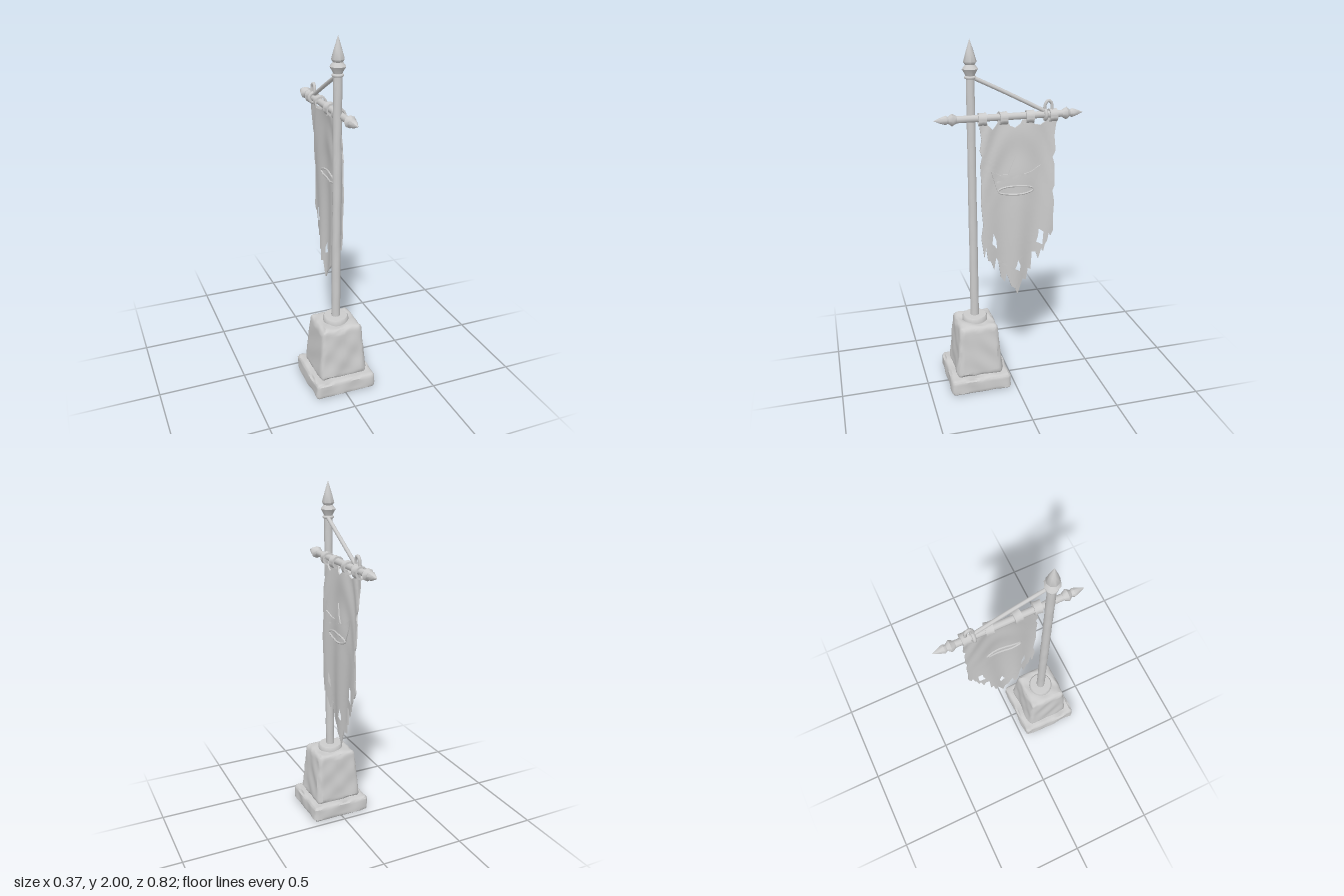
import * as THREE from 'three';
import { mergeVertices, toCreasedNormals } from 'three/addons/utils/BufferGeometryUtils.js';

const material = new THREE.MeshStandardMaterial({ color: 0xcccccc });
const POLE_Z = 0.207, BAR_X = 0.024, BAR_Y = 1.593;

function part(group, name, geometry, x = 0, y = 0, z = 0) {
  const mesh = new THREE.Mesh(geometry, material);
  mesh.name = name;
  mesh.position.set(x, y, z);
  group.add(mesh);
  return mesh;
}

// Move every vertex of a geometry by a rule
function warp(geometry, rule) {
  const p = geometry.attributes.position, v = new THREE.Vector3();
  for (let i = 0; i < p.count; i++) {
    rule(v.fromBufferAttribute(p, i));
    p.setXYZ(i, v.x, v.y, v.z);
  }
  return geometry;
}

const bumps = (x, y, z) =>
  Math.sin(x * 31 + y * 17 + 1) * Math.sin(y * 27 - z * 23 + 2) + 0.6 * Math.sin(z * 47 + x * 39 - y * 33);

// Worn stone block: rounded, tapered towards the top, chipped along its edges
function stone(w, h, d, radius, taper, seed) {
  const n = s => Math.max(6, Math.round(s / 0.014));
  let g = new THREE.BoxGeometry(w, h, d, n(w), n(h), n(d));
  g.deleteAttribute('uv');
  g.deleteAttribute('normal');
  g = mergeVertices(g);
  const inner = new THREE.Vector3(w / 2 - radius, h / 2 - radius, d / 2 - radius);
  const core = new THREE.Vector3(), out = new THREE.Vector3();
  warp(g, v => {
    core.copy(v).clamp(inner.clone().negate(), inner);
    out.copy(v).sub(core);
    const edge = [out.x, out.y, out.z].filter(c => Math.abs(c) > radius * 0.4).length > 1;
    out.normalize();
    const b = bumps(v.x + seed, v.y, v.z + seed);
    v.copy(core).addScaledVector(out, radius + 0.0035 * b - (edge ? 0.008 * Math.max(0, b) : 0));
    const s = 1 - taper * (v.y / h + 0.5);
    v.x *= s;
    v.z *= s;
    v.y = Math.max(v.y, -h / 2) + h / 2;
  });
  return toCreasedNormals(g, 0.7);
}

function lathe(points, sides) {
  return toCreasedNormals(
    new THREE.LatheGeometry(points.map(p => new THREE.Vector2(...p)), sides), 0.85);
}

// Split long edges so that flat shapes can bend
function refine(geometry, limit) {
  const p = (geometry.index ? geometry.toNonIndexed() : geometry).attributes.position;
  const at = i => new THREE.Vector3().fromBufferAttribute(p, i);
  const out = [];
  const split = (a, b, c) => {
    const ab = a.distanceTo(b), bc = b.distanceTo(c), ca = c.distanceTo(a);
    const longest = Math.max(ab, bc, ca);
    if (longest <= limit) {
      out.push(...a.toArray(), ...b.toArray(), ...c.toArray());
      return;
    }
    // Turn the corners so that the longest edge comes first
    const [s, e, tip] = ab === longest ? [a, b, c] : bc === longest ? [b, c, a] : [c, a, b];
    const m = s.clone().add(e).multiplyScalar(0.5);
    split(s, m, tip);
    split(m, e, tip);
  };
  for (let i = 0; i < p.count; i += 3) split(at(i), at(i + 1), at(i + 2));
  const g = new THREE.BufferGeometry();
  g.setAttribute('position', new THREE.Float32BufferAttribute(out, 3));
  return g;
}

// Sideways position of the hanging cloth; a runs away from the pole along the bar
function fold(a, y) {
  const t = (1.58 - y) / 1.04;
  const sag = 0.034 + 0.016 * Math.sin(Math.PI * Math.min(1, Math.max(0, t)));
  const swags = Math.sin((y + 8.8 * (a - 0.04) ** 2) * 26) * Math.max(0, 0.5 - t);
  const pleats = Math.sin((a - 0.03) * (26 + 14 * t) + t * 2) * (0.4 + 0.6 * t);
  return sag + 0.007 * swags + 0.008 * pleats;
}

function drape(geometry, offset) {
  const g = warp(refine(geometry, 0.022), v => v.set(fold(v.x, v.y) + v.z + offset, v.y, -v.x));
  return toCreasedNormals(g, 0.8);
}

// Outlines are given in hundredths of a unit
const outline = list => list.map(([a, y]) => new THREE.Vector2(a / 100, y / 100));
const thin = (shape, depth) => new THREE.ExtrudeGeometry(shape, { depth, bevelEnabled: false });

export function createModel() {
  const model = new THREE.Group();
  model.name = 'bannerStand';

  // Stone pedestal
  part(model, 'baseSlab', stone(0.362, 0.095, 0.352, 0.018, 0.02, 0), 0, 0, POLE_Z);
  part(model, 'pedestal', stone(0.29, 0.315, 0.275, 0.026, 0.19, 3), 0, 0.085, POLE_Z);
  part(model, 'collar', lathe([[0, 0], [0.073, 0], [0.072, 0.024], [0.066, 0.032], [0, 0.034]], 16), 0, 0.396, POLE_Z);

  // Pole with slight wear
  const pole = warp(new THREE.CylinderGeometry(0.023, 0.025, 1.42, 12, 40), v => {
    const s = 1 + 0.035 * bumps(v.x * 2, v.y, v.z * 2);
    v.x *= s;
    v.z *= s;
  });
  part(model, 'pole', toCreasedNormals(pole, 0.8), 0, 1.12, POLE_Z);

  // Spear finials on the pole and both bar ends
  part(model, 'poleFinial', lathe([
    [0, 0], [0.025, 0], [0.028, 0.008], [0.043, 0.034], [0.026, 0.056],
    [0.036, 0.07], [0.02, 0.125], [0, 0.186]], 8), 0, 1.814, POLE_Z);
  const barEnd = [[0, 0], [0.02, 0], [0.034, 0.025], [0.018, 0.045], [0.025, 0.058], [0.014, 0.09], [0, 0.122]];
  for (const side of [1, -1]) {
    const tip = part(model, 'barFinial', lathe(barEnd, 8), BAR_X, BAR_Y, side * 0.289);
    tip.rotation.x = side * Math.PI / 2;
  }
  const bar = part(model, 'crossbar', new THREE.CylinderGeometry(0.019, 0.019, 0.58, 10), BAR_X, BAR_Y, 0);
  bar.rotation.x = Math.PI / 2;

  // Cloth loops around the bar
  const ring = [[0.026, -0.021], [0.036, -0.021], [0.033, 0], [0.036, 0.021], [0.026, 0.021], [0.026, -0.021]];
  [[0.153, 0.1], [0.042, -0.08], [-0.108, 0.14], [-0.235, -0.04]].forEach(([z, tilt]) => {
    const loop = part(model, 'hangingLoop', lathe(ring, 14), BAR_X + 0.006, BAR_Y - 0.005, z);
    loop.rotation.set(Math.PI / 2, 0, tilt);
  });

  // Brace rope from the pole to the outer bar, with its knot
  const rope = (name, points, r, n) => part(model, name, new THREE.TubeGeometry(
    new THREE.CatmullRomCurve3(points.map(p => new THREE.Vector3(...p))), n, r, 8));
  rope('brace', [[0.008, 1.81, 0.205], [0.018, 1.715, 0.01], [0.026, 1.615, -0.185]], 0.011, 20);
  part(model, 'poleTie', new THREE.TorusGeometry(0.024, 0.008, 8, 16).rotateX(Math.PI / 2), 0, 1.805, POLE_Z);
  part(model, 'barTie', new THREE.TorusGeometry(0.026, 0.01, 8, 16), BAR_X, BAR_Y, -0.195);
  rope('knotEnd', [[0.026, 1.61, -0.19], [0.03, 1.652, -0.195], [0.03, 1.668, -0.21],
    [0.028, 1.655, -0.228], [0.028, 1.615, -0.232]], 0.009, 16);

  // Torn cloth with holes
  const cloth = new THREE.Shape(outline([
    [-17.5, 158.5], [-13.5, 158.5], [-12.4, 155.5], [-9.8, 153], [-7.2, 156], [-6.1, 158], [-2, 158],
    [-0.3, 154.5], [2.4, 153.4], [5.6, 155.5], [6.6, 157.5], [11.5, 157.5], [13.5, 154.5], [16.7, 154],
    [20.4, 156.6], [21.4, 159], [25.7, 159], [25.5, 155], [24.6, 147.6], [25.1, 139.6], [23.5, 136],
    [24.6, 131.7], [24.6, 119.5], [23.5, 117], [24.6, 110.5], [24.1, 100], [24.6, 93.5], [23, 89.8],
    [22, 92], [20.9, 86.6], [19.8, 85], [18.8, 80.3], [17.7, 82.4], [16.1, 76], [14.6, 80.3], [12.4, 80.3],
    [11.9, 69.2], [10.3, 70.2], [9.3, 62.8], [7.1, 63.9], [4, 54.3], [2.4, 58.6], [0.3, 60.1], [-1.3, 65],
    [-2.4, 68.1], [-3.4, 63], [-5.6, 66], [-7.1, 76], [-8.7, 79.2], [-9.8, 71.8], [-11.9, 77.6],
    [-13.5, 78.2], [-14.6, 86.6], [-15.6, 80.3], [-17.2, 92], [-16.1, 100], [-17.2, 113], [-16.7, 124],
    [-17.2, 134], [-16.1, 138.5], [-17.2, 142], [-16.1, 148]]));
  const tears = [
    [[-10.3, 94.5], [-8.7, 90], [-8.1, 84.5], [-9.8, 87], [-11, 88]],
    [[16.2, 94.5], [18.8, 92.5], [18.3, 84.8], [14.8, 86.5], [15.8, 90]],
    [[4, 76.5], [5.6, 73], [5.2, 69.3], [2.4, 71], [3.4, 73.5]],
  ];
  cloth.holes = tears.map(t => new THREE.Path(outline(t)));
  part(model, 'bannerCloth', drape(thin(cloth, 0.008), -0.004));

  // Raised crown emblem on the cloth
  const crown = new THREE.Shape(outline([
    [-8, 119], [-9.5, 124], [-11.4, 130.6], [-6.5, 128], [-1.8, 128], [0, 132.5], [2.4, 138], [4.5, 132.5],
    [7, 128], [11.5, 129], [16.5, 132], [14.5, 124.5], [12.4, 119], [9, 117], [2.4, 116.3], [-4.5, 117]]));
  part(model, 'emblemCrown', drape(thin(crown, 0.009), 0.001));
  const rim = Array.from({ length: 24 }, (_, i) => {
    const t = i / 24 * Math.PI * 2;
    return new THREE.Vector3(0.024 + 0.1 * Math.cos(t), 1.19 + 0.024 * Math.sin(t), 0);
  });
  const rimTube = new THREE.TubeGeometry(new THREE.CatmullRomCurve3(rim, true), 48, 0.0055, 6, true);
  part(model, 'emblemRimFront', drape(rimTube, 0.011));
  part(model, 'emblemRimBack', drape(rimTube, -0.005));

  return model;
}
